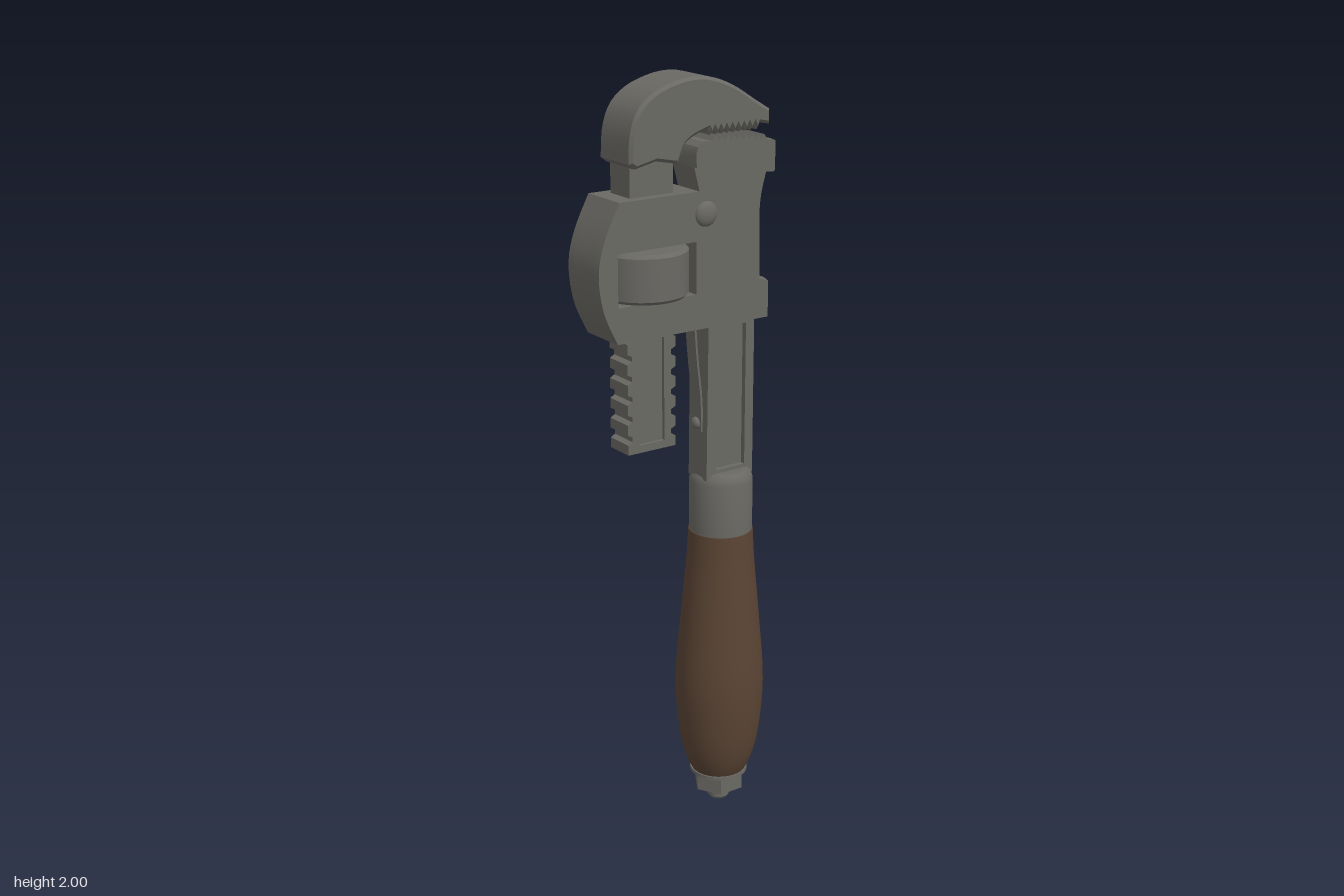
import * as THREE from 'three';
import { toCreasedNormals } from 'three/addons/utils/BufferGeometryUtils.js';

export function createModel() {
  const root = new THREE.Group();
  root.name = 'pipeWrench';
  const steel = new THREE.MeshStandardMaterial({ color: 0x6a6964 });
  steel.name = 'steel';
  const wood = new THREE.MeshStandardMaterial({ color: 0x5a4434 });
  wood.name = 'wood';
  const AXIS = 0.143; // x of the handle axis

  const add = (name, geo, mat, x = 0, y = 0, z = 0) => {
    const m = new THREE.Mesh(geo, mat);
    m.name = name;
    m.position.set(x, y, z);
    root.add(m);
    return m;
  };
  const pts = (list) => list.map(([x, y]) => new THREE.Vector2(x, y));
  const outline = (list) => new THREE.Shape(pts(list));
  const rectHole = (x0, y0, x1, y1) => new THREE.Path(pts([[x0, y0], [x0, y1], [x1, y1], [x1, y0]]));
  const curve = (list, n = 16) =>
    new THREE.SplineCurve(pts(list)).getPoints(n).map((p) => [p.x, p.y]);
  // extrusion centred on z = 0, with an optional small chamfer
  const slab = (shape, half, bevel = 0) => {
    const g = new THREE.ExtrudeGeometry(shape, {
      depth: 2 * (half - bevel), bevelEnabled: bevel > 0, bevelSize: bevel,
      bevelThickness: bevel, bevelOffset: -bevel, bevelSegments: 1, curveSegments: 12,
    });
    g.translate(0, 0, -(half - bevel));
    return toCreasedNormals(g, 0.5);
  };
  const lathe = (list, seg = 40) => toCreasedNormals(new THREE.LatheGeometry(pts(list), seg), 0.6);
  // zigzag of gripping teeth between two points
  const teeth = (x0, y0, x1, y1, n, h) => {
    const out = [];
    for (let i = 0; i < n; i++) {
      const a = i / n, b = (i + 0.5) / n;
      out.push([x0 + (x1 - x0) * a, y0 + (y1 - y0) * a]);
      out.push([x0 + (x1 - x0) * b, y0 + (y1 - y0) * b + h]);
    }
    out.push([x1, y1]);
    return out;
  };

  // Wooden grip, ferrule and end hardware
  const gripCurve = curve([[0.073, 0.095], [0.092, 0.14], [0.108, 0.21], [0.118, 0.32], [0.117, 0.41],
    [0.108, 0.52], [0.099, 0.62], [0.09, 0.72], [0.085, 0.805]], 28);
  add('grip', lathe([[0, 0.095], ...gripCurve, [0, 0.805]]), wood, AXIS);
  add('ferrule', lathe([[0, 0.803], [0.083, 0.803], [0.083, 0.945], [0.079, 0.963], [0.068, 0.975], [0, 0.975]]), steel, AXIS);
  add('endWasher', new THREE.CylinderGeometry(0.078, 0.078, 0.01, 32), steel, AXIS, 0.092);
  const hexNut = toCreasedNormals(new THREE.CylinderGeometry(0.07, 0.07, 0.05, 6), 0.3);
  hexNut.rotateY(Math.PI / 6);
  add('endNut', hexNut, steel, AXIS, 0.064);
  add('endStud', lathe([[0, 0], [0.024, 0], [0.03, 0.008], [0.03, 0.045]], 20), steel, AXIS);

  // Shaft with a sunken panel on each face
  const shaft = outline([[0.068, 0.96], [0.214, 0.96], [0.214, 1.42], [0.072, 1.42]]);
  shaft.holes.push(rectHole(0.098, 0.985, 0.188, 1.365));
  add('shaftFrame', slab(shaft, 0.04), steel);
  add('shaftWeb', new THREE.BoxGeometry(0.1, 0.4, 0.052), steel, AXIS, 1.175);

  // Neck that rises through the housing to the fixed jaw
  const neck = outline([[0.06, 1.38], [0.214, 1.38], [0.224, 1.48],
    ...curve([[0.222, 1.58], [0.221, 1.65], [0.227, 1.7], [0.244, 1.76]], 8),
    [0.02, 1.785], ...curve([[0.035, 1.73], [0.05, 1.66], [0.055, 1.55]], 6)]);
  add('neck', slab(neck, 0.046), steel);
  const fixedJaw = outline([[0.014, 1.782], [0.244, 1.748], [0.25, 1.752], [0.25, 1.825], [0.24, 1.83],
    ...teeth(0.225, 1.829, 0.06, 1.842, 9, 0.014), [0.032, 1.844], [0.018, 1.832], [0.012, 1.815]]);
  add('fixedJaw', slab(fixedJaw, 0.068), steel);

  // Hooked jaw
  const back = curve([[-0.177, 1.81], [-0.172, 1.88], [-0.15, 1.935], [-0.105, 1.972], [-0.04, 1.994],
    [0.02, 2.0], [0.075, 1.99], [0.13, 1.967], [0.19, 1.93], [0.235, 1.903]], 30);
  const throat = curve([[0.035, 1.868], [0.005, 1.857], [-0.018, 1.84], [-0.032, 1.81]], 8);
  const hook = outline([...back, [0.235, 1.866], ...teeth(0.205, 1.872, 0.05, 1.872, 9, -0.016), ...throat,
    [-0.037, 1.797], [-0.1, 1.81], [-0.16, 1.797]]);
  add('hookJaw', slab(hook, 0.068, 0.008), steel);
  add('hookShank', new THREE.BoxGeometry(0.124, 0.46, 0.084), steel, -0.1, 1.6);

  // Threaded rack below the housing, notched on both edges
  const edge = [];
  const N = 6, pitch = 0.052;
  for (let i = 0; i < N; i++) {
    const y = 1.08 + i * pitch;
    edge.push([0.071, y], [0.071, y + 0.026], [0.058, y + 0.033], [0.058, y + 0.046]);
  }
  edge.push([0.071, 1.4]);
  const rack = outline([...edge.map(([x, y]) => [-0.1 + x, y]),
    ...edge.slice().reverse().map(([x, y]) => [-0.1 - x, y])]);
  rack.holes.push(rectHole(-0.137, 1.1, -0.063, 1.39));
  add('rackEdges', slab(rack, 0.04), steel);
  add('rackWeb', new THREE.BoxGeometry(0.09, 0.31, 0.062), steel, -0.1, 1.24);

  // Housing: two side plates, a solid back frame and a rounded collar
  const rear = curve([[-0.208, 1.725], [-0.25, 1.64], [-0.268, 1.56], [-0.255, 1.465], [-0.216, 1.38]], 14);
  const shoulder = curve([[0.03, 1.722], [0.068, 1.702], [0.088, 1.655], [0.096, 1.59],
    [0.125, 1.53], [0.19, 1.49], [0.235, 1.474]], 20);
  const window = () => rectHole(-0.214, 1.47, 0.014, 1.602);
  const side = outline([...rear, [0.235, 1.38], ...shoulder.slice().reverse(), [0.02, 1.725]]);
  side.holes.push(window());
  for (const s of [-1, 1]) add('housingPlate', slab(side, 0.012), steel, 0, 0, s * 0.056);
  const frame = outline([...rear, [0.05, 1.38], [0.05, 1.715], [0.02, 1.725]]);
  frame.holes.push(window());
  add('housingFrame', slab(frame, 0.046), steel);
  const plan = outline([[0.03, -0.068], ...curve([[0.222, -0.068], [0.25, -0.045], [0.265, 0],
    [0.25, 0.045], [0.222, 0.068]], 14), [0.03, 0.068]]);
  const collar = slab(plan, 0.043);
  collar.rotateX(-Math.PI / 2);
  add('housingCollar', collar, steel, 0, 1.423);
  add('windowLiner', new THREE.BoxGeometry(0.004, 0.13, 0.12), wood, -0.212, 1.536);

  // Adjusting nut
  add('adjustingNut', lathe([[0, 1.474], [0.106, 1.474], [0.114, 1.482], [0.114, 1.588], [0.106, 1.597], [0, 1.597]], 48), steel, -0.1);

  // Domed pivot pin on both faces
  for (const s of [-1, 1]) {
    const dome = new THREE.SphereGeometry(0.032, 24, 8, 0, Math.PI * 2, 0, Math.PI / 2);
    dome.scale(1, 0.5, 1);
    dome.rotateX(s * Math.PI / 2);
    add('pivotPin', dome, steel, 0.042, 1.668, s * 0.067);
  }

  // Flat springs with their screws
  const spring = (name, path, half) => {
    const t = 0.006;
    add(name, slab(outline([...path, ...path.slice().reverse().map(([x, y]) => [x + t, y])]), half), steel);
  };
  spring('innerSpring', curve([[0.04, 1.4], [0.05, 1.28], [0.062, 1.18], [0.064, 1.09]], 8), 0.02);
  spring('outerSpring', curve([[0.221, 1.7], [0.222, 1.62], [0.228, 1.54], [0.234, 1.46]], 8), 0.02);
  const screw = (x, y) => {
    const g = new THREE.SphereGeometry(0.016, 16, 10);
    g.scale(0.7, 1, 1);
    add('springScrew', g, steel, x, y);
  };
  screw(0.062, 1.11);
  screw(0.224, 1.67);

  return root;
}
